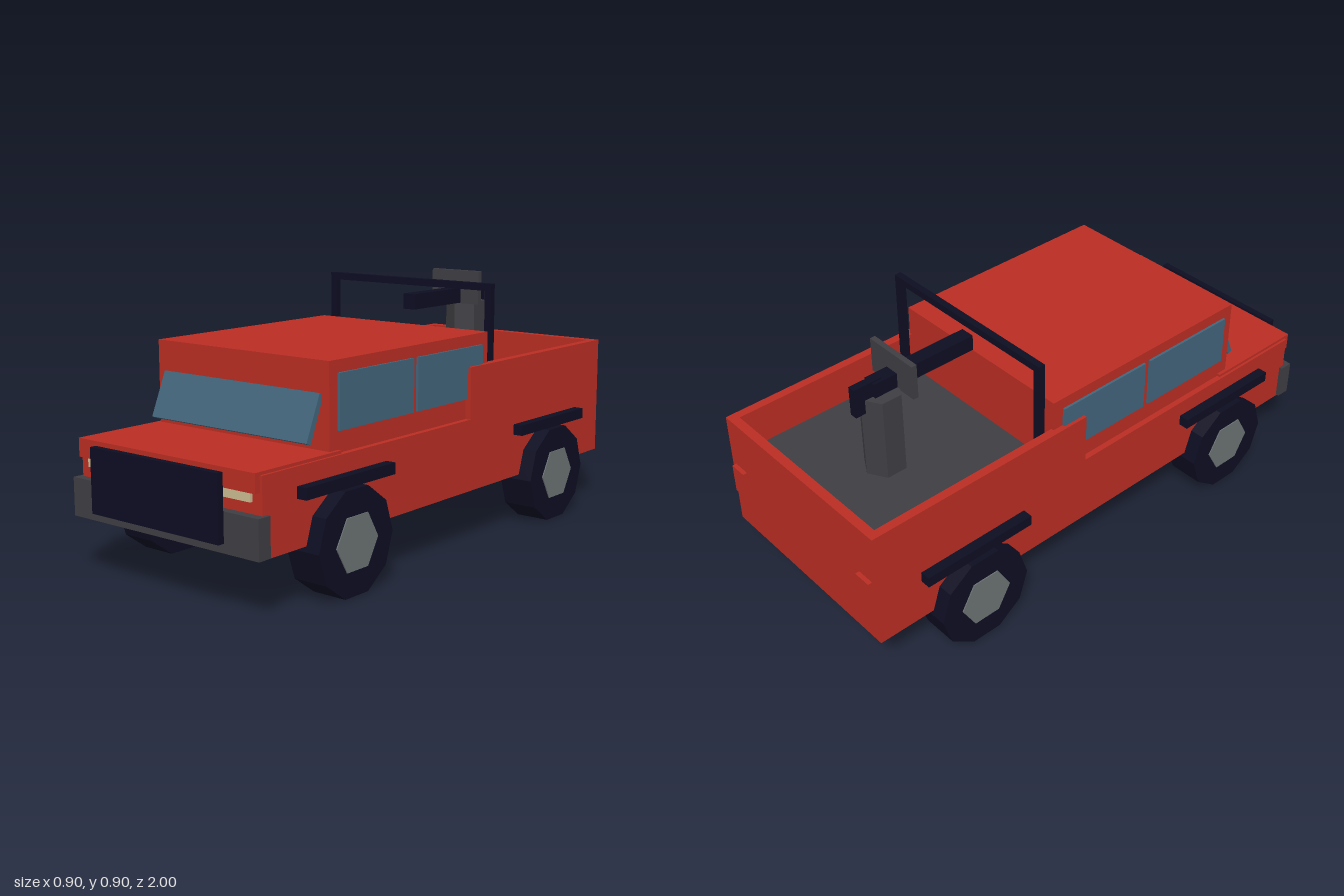
import * as THREE from 'three';

const mat = (name, color) => {
  const m = new THREE.MeshStandardMaterial({ color });
  m.name = name;
  return m;
};

export function createModel() {
  const red = mat('red paint', 0xb92d23);
  const black = mat('blue black', 0x0d0d22);
  const grey = mat('dark grey', 0x3e3d42);
  const glass = mat('blue glass', 0x42647a);
  const steel = mat('hub grey', 0x6b7173);
  const cream = mat('lamp cream', 0xcabb90);

  const model = new THREE.Group();
  model.name = 'pickupTruck';

  // Box given by its extents along x, y and z
  const box = (name, material, [x0, x1], [y0, y1], [z0, z1]) => {
    const mesh = new THREE.Mesh(new THREE.BoxGeometry(x1 - x0, y1 - y0, z1 - z0), material);
    mesh.position.set((x0 + x1) / 2, (y0 + y1) / 2, (z0 + z1) / 2);
    mesh.name = name;
    model.add(mesh);
    return mesh;
  };
  // Same box on both sides of the truck
  const pair = (name, material, [x0, x1], y, z) => {
    box(name + 'Left', material, [x0, x1], y, z);
    box(name + 'Right', material, [-x1, -x0], y, z);
  };
  // Faceted cylinder
  const prism = (name, material, radius, height, sides) => {
    const mesh = new THREE.Mesh(new THREE.CylinderGeometry(radius, radius, height, sides).toNonIndexed(), material);
    mesh.geometry.computeVertexNormals();
    mesh.name = name;
    return mesh;
  };

  // Body, hood and cabin
  box('lowerBody', red, [-0.394, 0.394], [0.187, 0.44], [-0.985, 0.935]);
  box('hood', red, [-0.385, 0.385], [0.388, 0.45], [0.57, 0.955]);
  box('cabin', red, [-0.373, 0.373], [0.43, 0.73], [-0.24, 0.612]);

  // Side windows and tilted windshield
  pair('frontWindow', glass, [0.373, 0.382], [0.51, 0.69], [0.196, 0.573]);
  pair('rearWindow', glass, [0.373, 0.382], [0.51, 0.69], [-0.2, 0.174]);
  const shield = box('windshield', glass, [-0.34, 0.34], [0.472, 0.632], [0.63, 0.65]);
  shield.rotation.x = -0.4;

  // Cargo bed
  box('bedFloor', grey, [-0.37, 0.37], [0.44, 0.48], [-0.96, -0.23]);
  pair('bedWall', red, [0.363, 0.394], [0.44, 0.622], [-0.985, -0.112]);
  box('tailgate', red, [-0.394, 0.394], [0.44, 0.622], [-0.985, -0.952]);
  pair('tailBlock', red, [0.31, 0.375], [0.33, 0.437], [-1, -0.98]);

  // Roll bar behind the cabin
  pair('rollBarPost', black, [0.338, 0.363], [0.48, 0.892], [-0.295, -0.27]);
  box('rollBarTop', black, [-0.363, 0.363], [0.867, 0.892], [-0.295, -0.27]);

  // Mounted device on its pedestal
  const pedestal = prism('pedestal', grey, 0.075, 0.305, 6);
  pedestal.position.set(0, 0.6275, -0.645);
  model.add(pedestal);
  box('mountBarrel', black, [-0.026, 0.026], [0.777, 0.833], [-0.68, -0.28]);
  box('mountGrip', black, [-0.014, 0.014], [0.73, 0.837], [-0.75, -0.645]);
  box('mountShield', grey, [-0.106, 0.106], [0.775, 0.9], [-0.592, -0.572]);

  // Front end
  box('bumper', grey, [-0.406, 0.406], [0.192, 0.32], [0.915, 0.965]);
  box('grilleGuard', black, [-0.278, 0.278], [0.227, 0.442], [0.977, 1]);
  pair('headlight', cream, [0.215, 0.355], [0.357, 0.388], [0.93, 0.945]);

  // Wheels and fender strips
  for (const [end, z, strip] of [['front', 0.572, [0.357, 0.785]], ['rear', -0.602, [-0.815, -0.388]]]) {
    pair(end + 'Fender', black, [0.38, 0.43], [0.342, 0.38], strip);
    for (const side of [1, -1]) {
      const wheel = new THREE.Group();
      wheel.name = end + (side > 0 ? 'Left' : 'Right') + 'Wheel';
      const tire = prism('tire', black, 0.179, 0.128, 10);
      const hub = prism('hub', steel, 0.1, 0.136, 6);
      wheel.add(tire, hub);
      wheel.rotation.z = Math.PI / 2;
      wheel.position.set(side * 0.384, 0.17, z);
      model.add(wheel);
    }
  }
  return model;
}
